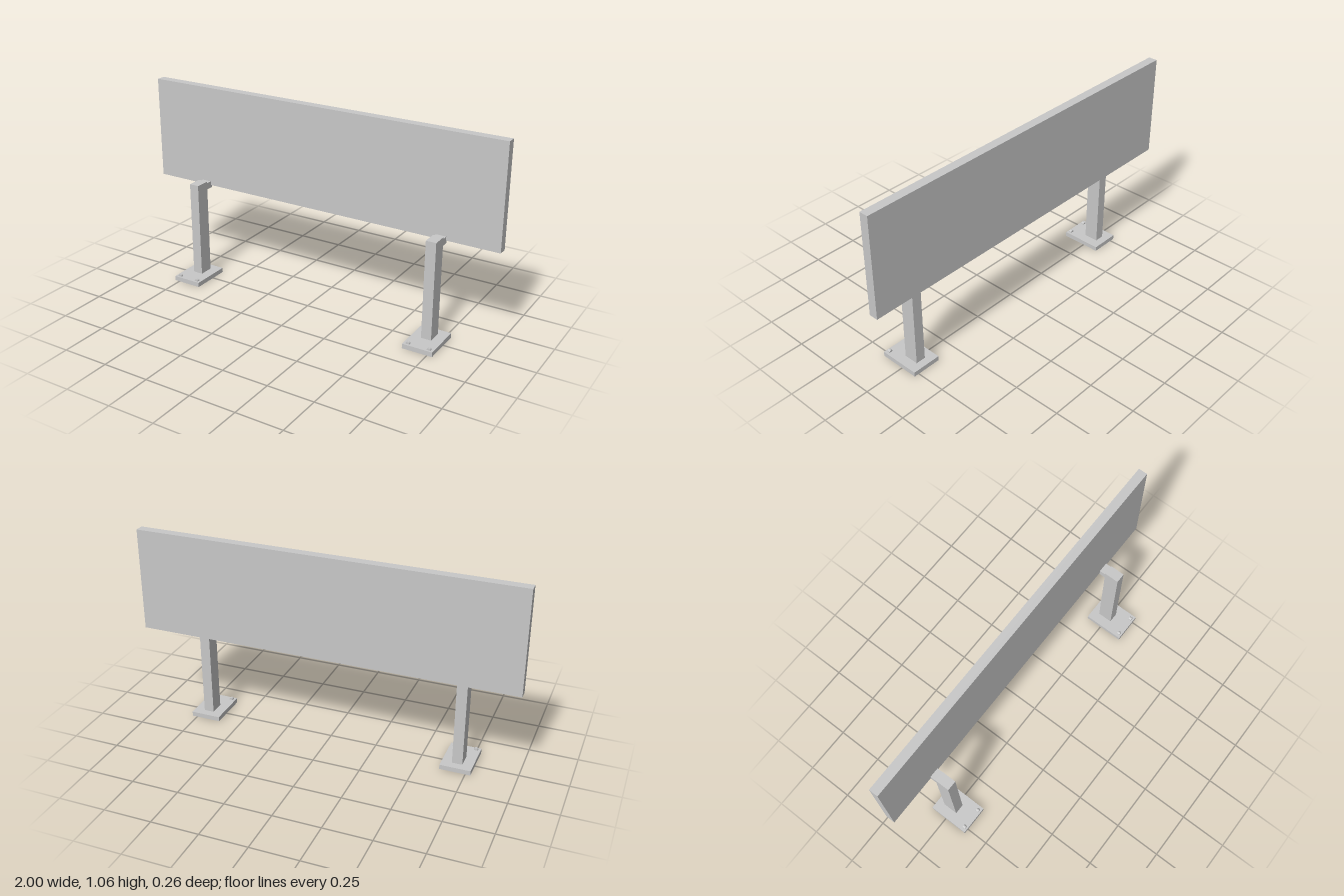
import * as THREE from 'three';

const grey = new THREE.MeshStandardMaterial({ color: 0xc8c8c8 });
grey.name = 'light grey';

// Box given by its limits on each axis
function block(name, [x0, x1], [y0, y1], [z0, z1]) {
  const mesh = new THREE.Mesh(new THREE.BoxGeometry(x1 - x0, y1 - y0, z1 - z0), grey);
  mesh.position.set((x0 + x1) / 2, (y0 + y1) / 2, (z0 + z1) / 2);
  mesh.name = name;
  return mesh;
}

// Foot plate, post, bracket and two bolt heads
function createSupport(name) {
  const support = new THREE.Group();
  support.name = name;
  support.add(
    block('footPlate', [-0.08, 0.08], [0, 0.025], [-0.09, 0.13]),
    block('post', [-0.027, 0.027], [0.025, 0.545], [-0.049, 0.03]),
    block('bracket', [-0.027, 0.027], [0.5, 0.536], [-0.09, -0.049])
  );
  for (const side of [-1, 1]) {
    // Short round bolt lying along z, half sunk in the plate
    const bolt = new THREE.Mesh(new THREE.CylinderGeometry(0.01, 0.01, 0.016, 20), grey);
    bolt.rotation.x = Math.PI / 2;
    bolt.position.set(side * 0.056, 0.026, 0.112);
    bolt.name = side > 0 ? 'leftBolt' : 'rightBolt';
    support.add(bolt);
  }
  return support;
}

export function createModel() {
  const model = new THREE.Group();
  model.name = 'panelOnPosts';
  model.add(block('panel', [-1, 1], [0.515, 1.061], [-0.13, -0.082]));
  for (const side of [-1, 1]) {
    const support = createSupport(side > 0 ? 'leftSupport' : 'rightSupport');
    support.position.x = side * 0.697;
    model.add(support);
  }
  return model;
}
